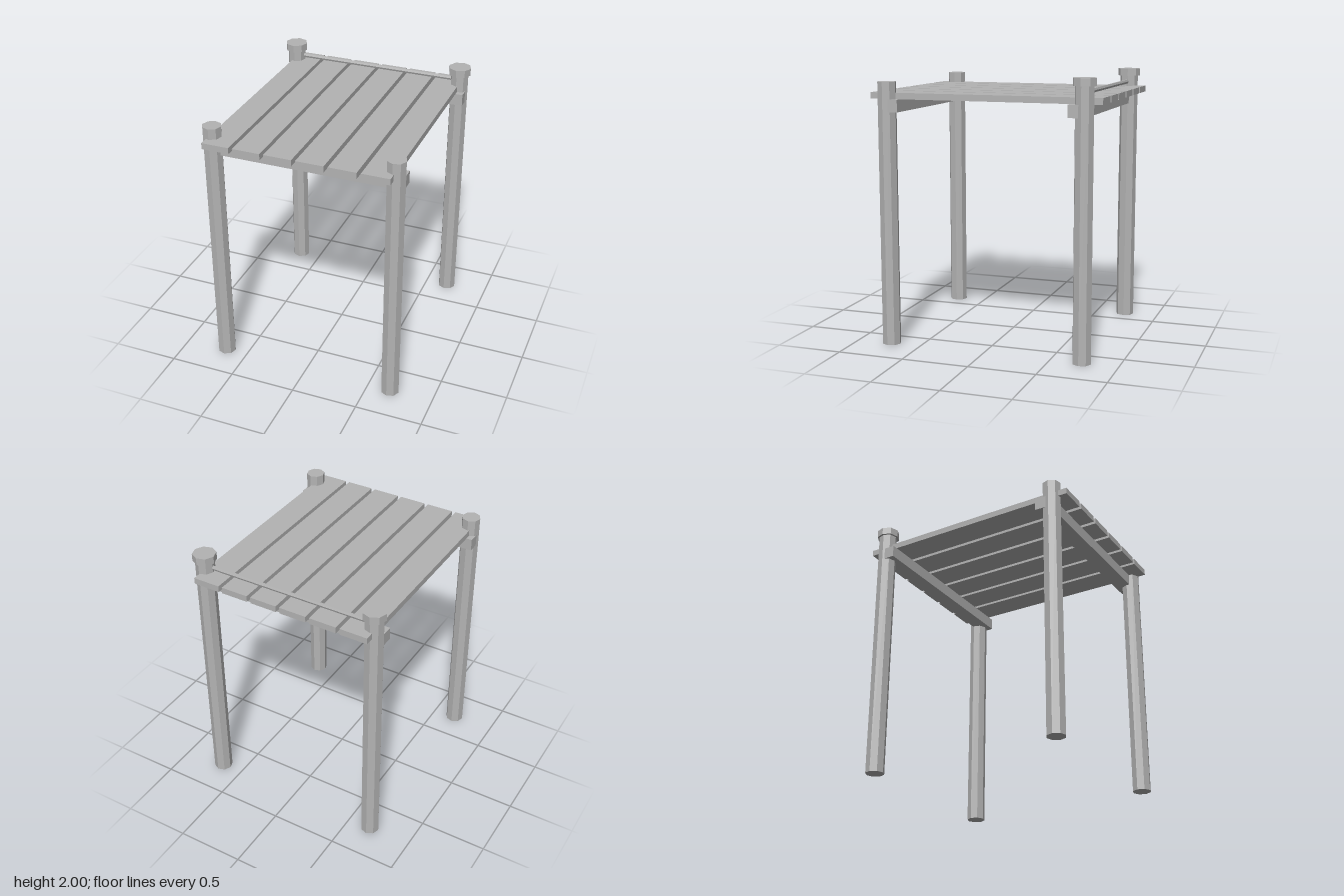
import * as THREE from 'three';

export function createModel() {
  const model = new THREE.Group();
  const grey = new THREE.MeshStandardMaterial({ color: 0xb3b3b3 });
  grey.name = 'weathered grey';
  grey.flatShading = true;

  function add(name, geometry, x, y, z) {
    const mesh = new THREE.Mesh(geometry, grey);
    mesh.name = name;
    mesh.position.set(x, y, z);
    model.add(mesh);
    return mesh;
  }

  // Octagonal corner posts; the back pair carries wider caps
  for (const side of [-1, 1]) {
    const twist = -side * THREE.MathUtils.degToRad(5);
    const octagon = (r, h) => new THREE.CylinderGeometry(r, r, h, 8, 1, false, twist);
    const x = side * 0.673;
    add('frontPost', octagon(0.069, 1.945), x, 0.9725, 0.733);
    add('backPost', octagon(0.069, 1.945), x, 0.9725, -0.733);
    add('backPostCap', octagon(0.085, 0.055), x, 1.9725, -0.733);
  }

  // Cross beams under the deck
  for (const side of [-1, 1]) {
    add('crossBeam', new THREE.BoxGeometry(1.464, 0.09, 0.118), -0.002, 1.775, side * 0.689);
  }

  // Deck planks running front to back
  for (let i = 0; i < 6; i++) {
    add('deckPlank', new THREE.BoxGeometry(0.204, 0.046, 1.724), -0.008 + (i - 2.5) * 0.2325, 1.843, 0);
  }

  // Thin rail between the back posts
  const rail = new THREE.CylinderGeometry(0.017, 0.017, 1.24, 6);
  rail.rotateZ(Math.PI / 2);
  rail.scale(1, 1, 0.7);
  add('backRail', rail, 0, 1.9, -0.733);

  return model;
}
